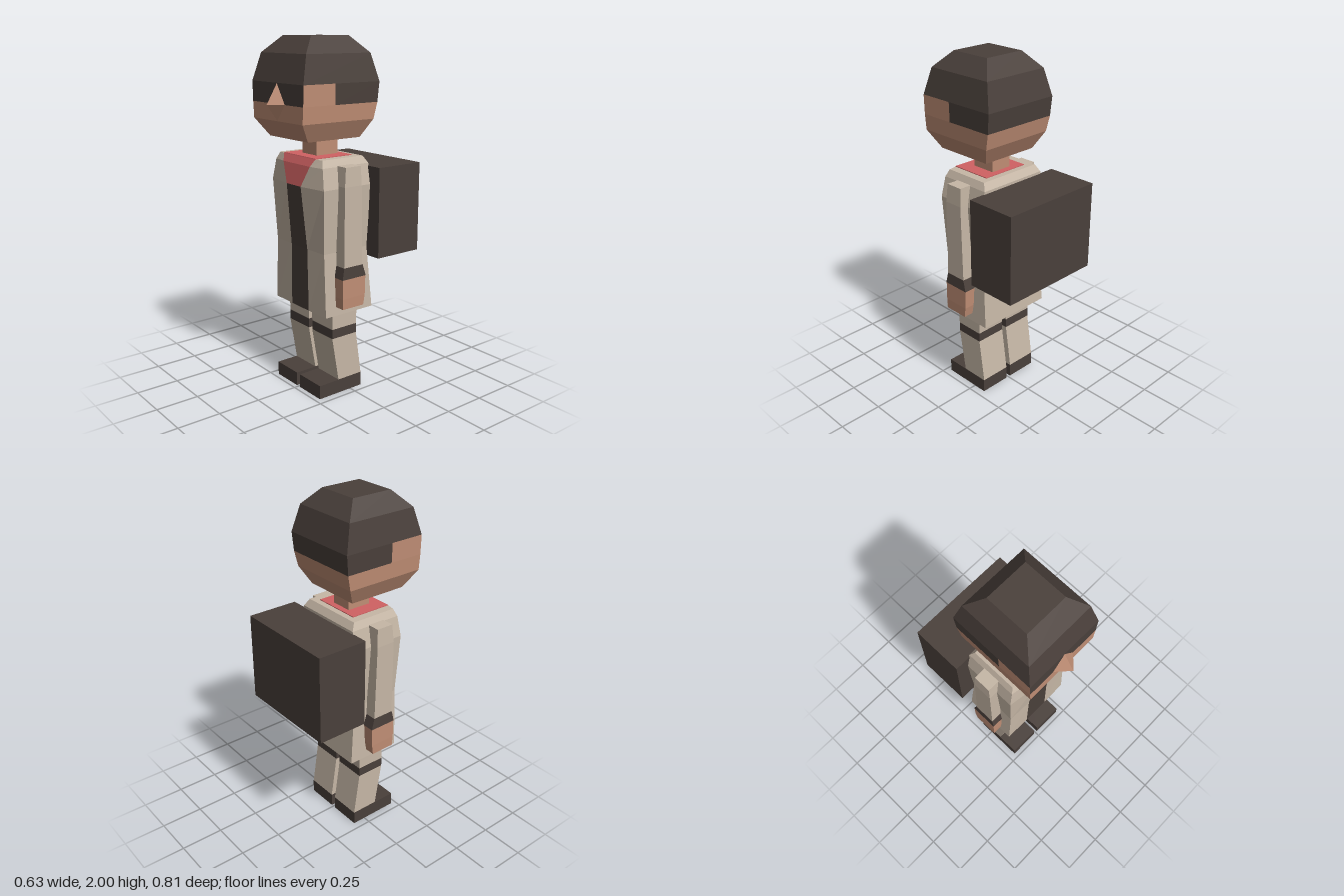
import * as THREE from 'three';

const mat = (name, color) => Object.assign(new THREE.MeshStandardMaterial({ color, flatShading: true }), { name });

// Rectangular ring at height y, running front-left, front-right, back-right, back-left
const rect = (y, x0, x1, front, back) => ({ y, pts: [[x0, front], [x1, front], [x1, back], [x0, back]] });

// Flat-faced loft through rings; paint(segment, edge) picks each side's material, null skips it
function loft(name, rings, base, paint = () => base, caps = true) {
  const pos = [], mats = [], geo = new THREE.BufferGeometry();
  const add = (m, ...corners) => {
    if (!m) return;
    if (!mats.includes(m)) mats.push(m);
    geo.addGroup(pos.length / 3, corners.length, mats.indexOf(m));
    corners.forEach(c => pos.push(...c));
  };
  const at = (r, i) => {
    const p = r.pts[i % r.pts.length];
    return [p[0], r.y, p[1]];
  };
  const n = rings[0].pts.length;
  for (let s = 0; s < rings.length - 1; s++) {
    const lo = rings[s], hi = rings[s + 1];
    for (let e = 0; e < n; e++) {
      const a = at(lo, e), b = at(lo, e + 1), c = at(hi, e + 1), d = at(hi, e);
      add(paint(s, e), a, b, c, a, c, d);
    }
  }
  if (caps) {
    const lo = rings[0], hi = rings[rings.length - 1];
    for (let i = 1; i < n - 1; i++) {
      add(base, at(hi, 0), at(hi, i), at(hi, i + 1));
      add(base, at(lo, 0), at(lo, i + 1), at(lo, i));
    }
  }
  geo.setAttribute('position', new THREE.Float32BufferAttribute(pos, 3));
  geo.computeVertexNormals();
  const mesh = new THREE.Mesh(geo, mats.length > 1 ? mats : mats[0]);
  mesh.name = name;
  return mesh;
}

export function createModel() {
  const cloth = mat('beige cloth', 0xc6b7a6);
  const skin = mat('skin', 0xc08e75);
  const dark = mat('dark brown', 0x4a403b);
  const red = mat('red scarf', 0xd06263);
  const model = new THREE.Group();
  model.name = 'figure';

  // Head: jaw, split middle band with hair notch at the temples, crown
  const head = new THREE.Group();
  head.name = 'head';
  const sym = (y, w, f, b) => rect(y, -w, w, f, b);
  head.add(
    loft('face', [sym(1.46, 0.175, 0.27, -0.08), sym(1.56, 0.225, 0.34, -0.135), sym(1.65, 0.232, 0.34, -0.155)], skin),
    loft('fringe', [sym(1.65, 0.232, 0.34, 0.135), sym(1.76, 0.235, 0.34, 0.135)], dark,
      (s, e) => [dark, skin, null, skin][e], false),
    loft('backHair', [sym(1.65, 0.232, 0.135, -0.155), sym(1.76, 0.235, 0.135, -0.165)], dark,
      (s, e) => (e === 0 ? null : dark), false),
    loft('crown', [sym(1.76, 0.235, 0.34, -0.165), sym(1.91, 0.205, 0.30, -0.125), sym(2.0, 0.125, 0.21, -0.04)], dark),
    loft('neck', [sym(1.34, 0.065, 0.13, -0.015), sym(1.47, 0.065, 0.13, -0.015)], skin));

  // Nose: four-sided pyramid pointing forward
  const rim = [[0.07, 1.65, 0.34], [0, 1.758, 0.34], [-0.07, 1.65, 0.34], [0, 1.56, 0.34]];
  const nosePos = rim.flatMap((p, i) => [0, 1.65, 0.405, ...p, ...rim[(i + 1) % 4]]);
  const noseGeo = new THREE.BufferGeometry();
  noseGeo.setAttribute('position', new THREE.Float32BufferAttribute(nosePos, 3));
  noseGeo.computeVertexNormals();
  const nose = new THREE.Mesh(noseGeo, skin);
  nose.name = 'nose';
  head.add(nose);
  model.add(head);

  // Coat: raised centre column carries the dark placket and the scarf
  const coatRing = (y, w, c, edge, mid, back) =>
    ({ y, pts: [[-w, edge], [-c, mid], [c, mid], [w, edge], [w, back], [-w, back]] });
  model.add(loft('coat', [
    coatRing(0.49, 0.236, 0.08, 0.2, 0.202, -0.13),
    coatRing(0.85, 0.22, 0.074, 0.2, 0.205, -0.1),
    coatRing(1.205, 0.238, 0.065, 0.215, 0.24, -0.11),
    coatRing(1.32, 0.215, 0.122, 0.205, 0.22, -0.11),
    coatRing(1.36, 0.195, 0.145, 0.19, 0.2, -0.085),
  ], cloth, (s, e) => (e !== 1 ? cloth : s < 2 ? dark : red)));
  model.add(loft('scarfCollar', [sym(1.358, 0.145, 0.2, -0.05), sym(1.364, 0.145, 0.198, -0.05)], red));

  // Backpack
  model.add(loft('backpack', [sym(0.795, 0.315, -0.105, -0.405), sym(1.305, 0.315, -0.105, -0.405)], dark));

  // Limbs, mirrored
  for (const [side, k] of [['left', 1], ['right', -1]]) {
    const ring = (y, inner, outer, f, b) => rect(y, Math.min(k * inner, k * outer), Math.max(k * inner, k * outer), f, b);
    const limb = new THREE.Group();
    limb.name = side + 'Limbs';
    limb.add(
      loft('sleeve', [ring(0.77, 0.22, 0.29, 0.117, -0.01), ring(1.22, 0.21, 0.291, 0.115, 0), ring(1.325, 0.205, 0.285, 0.105, 0.003)], cloth),
      loft('cuff', [ring(0.71, 0.215, 0.296, 0.132, -0.032), ring(0.775, 0.218, 0.292, 0.118, -0.012)], dark),
      loft('hand', [ring(0.54, 0.228, 0.293, 0.127, -0.018), ring(0.6, 0.22, 0.295, 0.13, -0.027), ring(0.71, 0.215, 0.295, 0.13, -0.03)], skin),
      loft('leg', [ring(0.08, 0.016, 0.204, 0.085, -0.08), ring(0.34, 0.016, 0.204, 0.13, -0.042),
        ring(0.395, 0.016, 0.204, 0.13, -0.042), ring(0.5, 0.016, 0.204, 0.13, -0.045)], cloth,
        s => (s === 1 ? dark : cloth)),
      loft('shoe', [ring(0, 0.015, 0.206, 0.22, -0.08), ring(0.08, 0.015, 0.206, 0.22, -0.08)], dark));
    model.add(limb);
  }
  return model;
}
